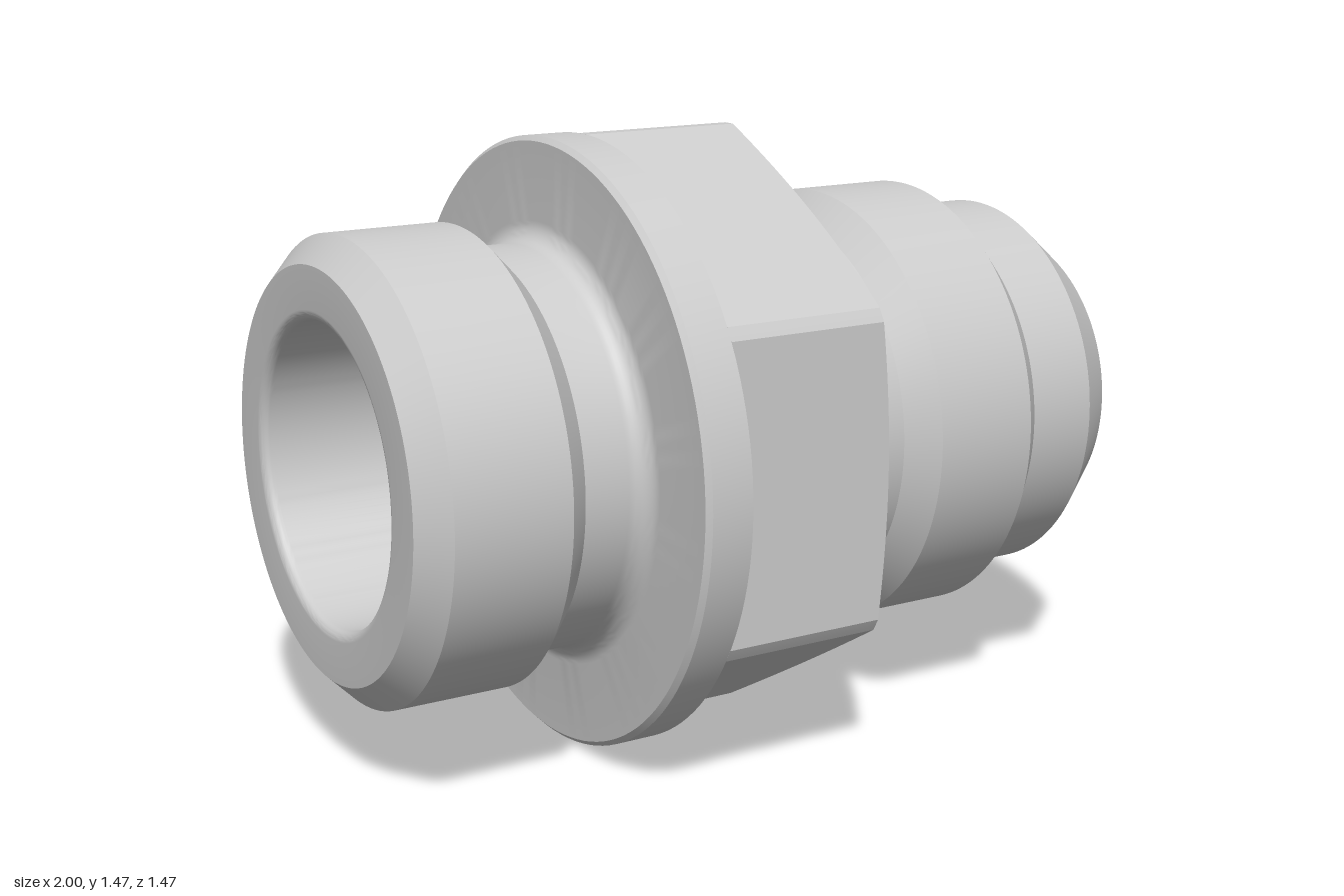
import * as THREE from 'three';
import { toCreasedNormals } from 'three/addons/utils/BufferGeometryUtils.js';

const AXIS_Y = 0.735;   // height of the pipe axis
const RIM = 0.735;      // flange and hex corner radius
const FLAT = 0.645;     // hex centre to flat
const NECK = 0.485;
const BORE = 0.357;

// points [x, radius] along a quarter-type arc
function arc(cx, cr, rad, from, to, n = 10) {
  return Array.from({ length: n + 1 }, (_, i) => {
    const a = from + (to - from) * i / n;
    return [cx + rad * Math.cos(a), cr + rad * Math.sin(a)];
  });
}

// revolve an [x, radius] profile about the x axis
function revolve(profile) {
  const g = new THREE.LatheGeometry(profile.map(([x, r]) => new THREE.Vector2(r, x)), 128);
  g.rotateZ(-Math.PI / 2);
  return toCreasedNormals(g, 0.35);
}

// hex with corners turned down to RIM and a conical chamfer on the +x end
function hexNut(x0, x1, chamfer) {
  const trim = Math.acos(FLAT / RIM);
  const angles = [];
  for (let side = 0; side < 6; side++) {
    const mid = side * Math.PI / 3;
    for (let i = 0; i <= 20; i++) angles.push([mid + trim * (i / 10 - 1), FLAT / Math.cos(trim * (i / 10 - 1))]);
    for (let i = 1; i < 4; i++) angles.push([mid + trim + (Math.PI / 3 - 2 * trim) * i / 4, RIM]);
  }
  const pos = [], index = [];
  for (const [a, r] of angles) {
    const edge = x1 - chamfer * (r - FLAT) / (RIM - FLAT);
    for (const [x, rad] of [[x0, NECK - 0.02], [x0, r], [edge, r], [x1, FLAT - 0.001], [x1, NECK - 0.02]])
      pos.push(x, rad * Math.sin(a), rad * Math.cos(a));
  }
  const n = angles.length;
  for (let i = 0; i < n; i++) {
    const j = (i + 1) % n;
    for (let k = 0; k < 4; k++) {
      const a = i * 5 + k, b = j * 5 + k;
      index.push(a, a + 1, b + 1, a, b + 1, b);
    }
  }
  const g = new THREE.BufferGeometry();
  g.setAttribute('position', new THREE.Float32BufferAttribute(pos, 3));
  g.setIndex(index);
  // make sure faces point outward: flip if the first side face looks inward
  const p = k => new THREE.Vector3().fromArray(pos, k * 3);
  const normal = p(2).sub(p(1)).cross(p(7).sub(p(1)));
  if (normal.dot(p(1).setX(0)) < 0) {
    for (let i = 0; i < index.length; i += 3) [index[i], index[i + 1]] = [index[i + 1], index[i]];
    g.setIndex(index);
  }
  return toCreasedNormals(g, 0.12);
}

export function createModel() {
  const group = new THREE.Group();
  const material = new THREE.MeshStandardMaterial({ color: 0xcccccc });
  const add = (name, geometry) => {
    const mesh = new THREE.Mesh(geometry, material);
    mesh.name = name;
    mesh.position.y = AXIS_Y;
    group.add(mesh);
  };

  // hollow body: plain end, fillet, flange, neck, collar, tapered nose, then back through the bore
  add('fittingBody', revolve([
    [-1, NECK], [-0.935, 0.55], [-0.65, 0.55], [-0.585, NECK],
    ...arc(-0.475, NECK + 0.05, 0.05, -Math.PI / 2, 0),
    [-0.425, RIM - 0.012], [-0.413, RIM], [-0.31, RIM], [-0.31, NECK],
    [0.285, NECK], [0.35, 0.55], [0.62, 0.55], [0.69, 0.48],
    [0.87, 0.48], [1, 0.38], [1, BORE],
    ...arc(-0.975, BORE + 0.025, 0.025, -Math.PI / 2, -Math.PI, 8),
    [-1, NECK],
  ]));

  add('hexNut', hexNut(-0.31, 0.12, 0.022));
  return group;
}
